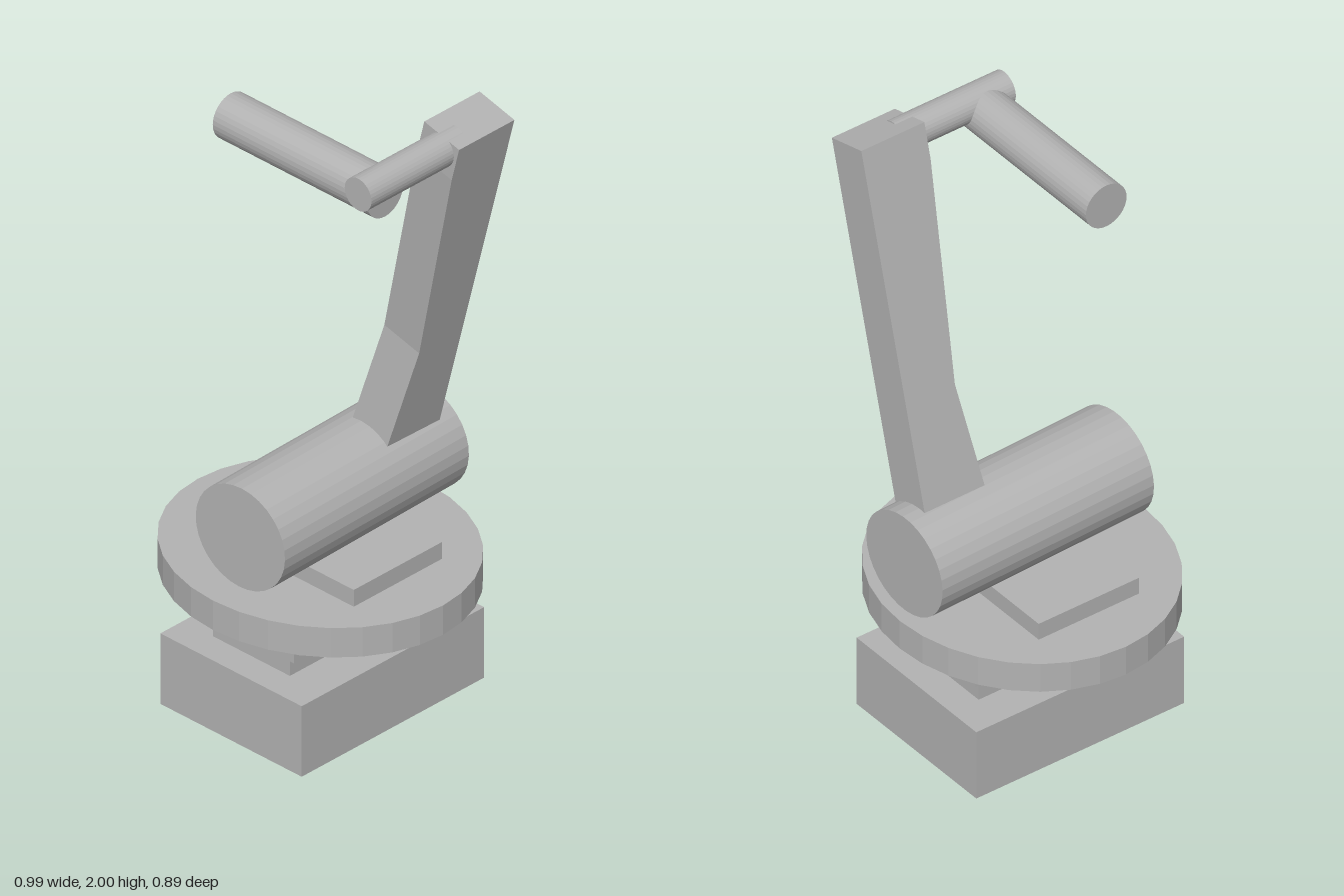
import * as THREE from 'three';

const grey = new THREE.MeshStandardMaterial({ color: 0xb2b2b2, flatShading: true });
grey.name = 'grey';

export function createModel() {
  const model = new THREE.Group();

  const add = (name, geometry) => {
    const mesh = new THREE.Mesh(geometry, grey);
    mesh.name = name;
    model.add(mesh);
    return mesh;
  };

  // Box given by its limits on each axis
  const box = (name, [x0, x1], [y0, y1], [z0, z1]) =>
    add(name, new THREE.BoxGeometry(x1 - x0, y1 - y0, z1 - z0))
      .position.set((x0 + x1) / 2, (y0 + y1) / 2, (z0 + z1) / 2);

  // Cylinder running from point a to point b
  const rod = (name, a, b, radius, sides = 32) => {
    const start = new THREE.Vector3(...a), end = new THREE.Vector3(...b);
    const axis = end.clone().sub(start);
    const mesh = add(name, new THREE.CylinderGeometry(radius, radius, axis.length(), sides));
    mesh.position.copy(start).add(end).multiplyScalar(0.5);
    mesh.quaternion.setFromUnitVectors(new THREE.Vector3(0, 1, 0), axis.normalize());
    return mesh;
  };

  // Stepped pedestal
  box('base', [-0.28, 0.29], [0, 0.24], [-0.38, 0.375]);
  box('lowerNeck', [-0.16, 0.15], [0.24, 0.32], [-0.28, 0.28]);
  box('upperNeck', [-0.19, 0.2], [0.32, 0.405], [-0.315, 0.315]);

  // Oval turntable and its mounting plate
  const table = add('turntable', new THREE.CylinderGeometry(1, 1, 0.1, 32));
  table.scale.set(0.495, 1, 0.445);
  table.position.set(0, 0.455, 0);
  box('mountingPlate', [-0.315, 0.315], [0.505, 0.562], [-0.18, 0.185]);

  // Shoulder drum, slightly wider than tall
  const drum = rod('shoulderDrum', [0.01, 0.695, -0.42], [0.035, 0.7, 0.367], 0.168);
  drum.scale.x = 1.04;

  // Leaning arm: side profile (z, height below the tip) with a waist, extruded across its width
  const width = 0.145;
  const profile = new THREE.Shape([
    [-0.367, 0], [-0.36, -1.25], [-0.133, -1.25],
    [-0.185, -0.83], [-0.138, -0.12], [-0.138, 0],
  ].map(([z, y]) => new THREE.Vector2(-z, y)));
  const armGeometry = new THREE.ExtrudeGeometry(profile, { depth: width, bevelEnabled: false });
  armGeometry.translate(0, 0, -width / 2).rotateY(Math.PI / 2);
  const arm = add('arm', armGeometry);
  arm.rotation.z = -0.252;
  arm.position.set(0.355, 1.982, 0);

  // Wrist shaft and the forearm tube that crosses it
  rod('wristShaft', [0.35, 1.932, -0.2], [0.35, 1.932, 0.203], 0.054);
  rod('forearmTube', [-0.25, 1.902, 0.115], [0.373, 1.902, 0.115], 0.074);

  return model;
}
